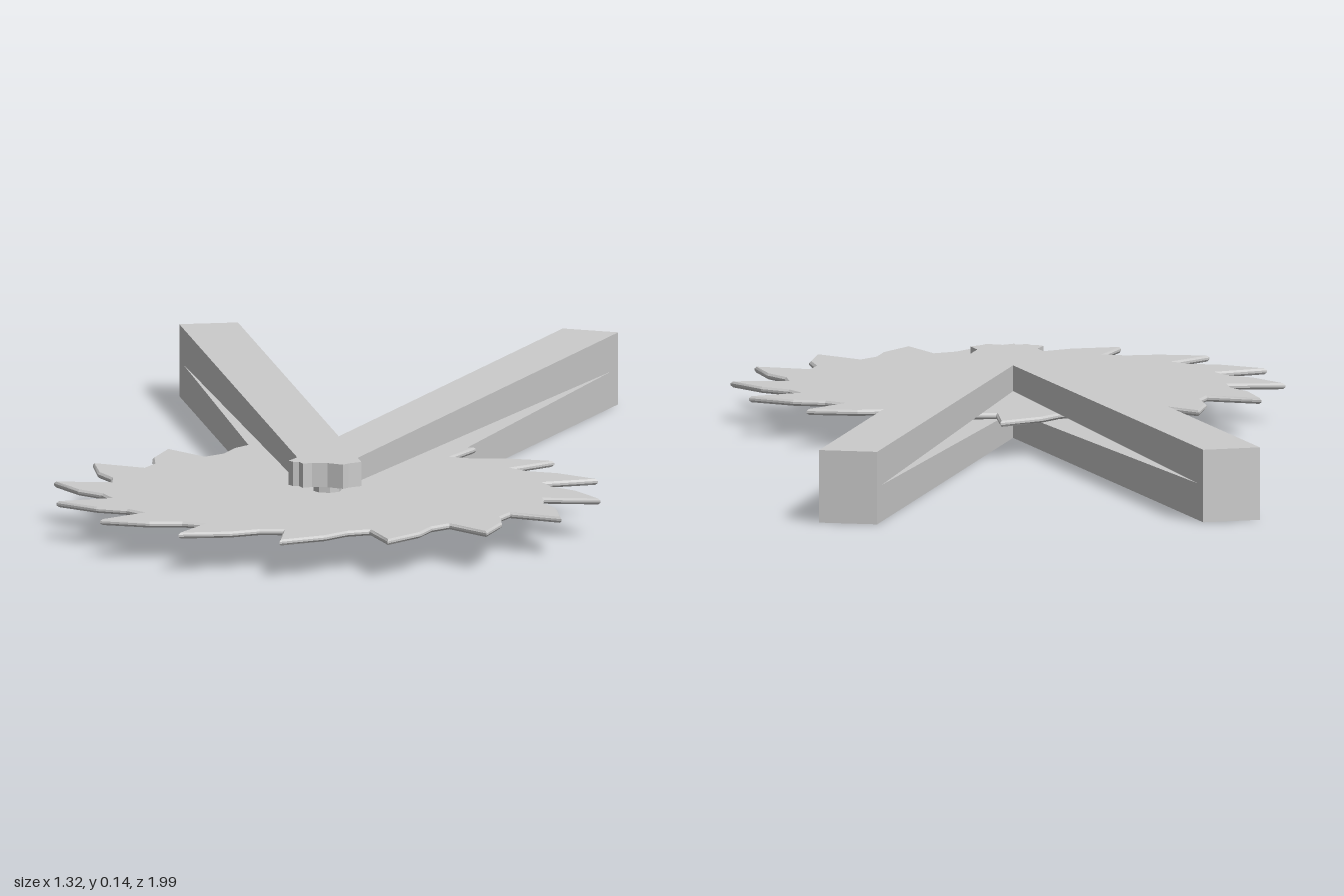
import * as THREE from 'three';

const HUB = { x: -0.116, z: 0.448 };
const HEIGHT = 0.143, MID = 0.072, SLOT = 0.024;
const material = new THREE.MeshStandardMaterial({ color: 0xcccccc, flatShading: true });

function addMesh(parent, name, geometry) {
  const mesh = new THREE.Mesh(geometry, material);
  mesh.name = name;
  parent.add(mesh);
  return mesh;
}

// Flat plate lying in the xz plane; outline points are [x, z], y0 is its underside
function plate(points, y0, thickness, bevel = 0) {
  const shape = new THREE.Shape(points.map(([x, z]) => new THREE.Vector2(x, z)));
  const geometry = new THREE.ExtrudeGeometry(shape, {
    depth: thickness - 2 * bevel, bevelEnabled: bevel > 0, bevelSegments: 1,
    bevelThickness: bevel, bevelSize: bevel, bevelOffset: -bevel,
  });
  return geometry.rotateX(Math.PI / 2).translate(0, y0 + thickness - bevel, 0);
}

// Square arm with a tapering slot that opens at the hub
function armGeometry(length, width) {
  const profile = [
    [0, 0], [length, 0], [length, HEIGHT], [0, HEIGHT],
    [0, MID + SLOT], [1.41, MID], [0, MID - SLOT],
  ];
  const shape = new THREE.Shape(profile.map(([d, y]) => new THREE.Vector2(d, y)));
  return new THREE.ExtrudeGeometry(shape, { depth: width, bevelEnabled: false })
    .translate(0, 0, -width / 2);
}

export function createModel() {
  const model = new THREE.Group();
  model.name = 'sawBladeWithArms';

  // Toothed blade: each tooth is a tip, a steep drop, a gullet and a rising back
  const teeth = 16, step = (Math.PI * 2) / teeth, start = -0.059;
  const tooth = [[0, 0.542], [0.07, 0.432], [0.33, 0.442], [0.58, 0.487]];
  const outline = [];
  for (let i = 0; i < teeth; i++) {
    for (const [t, r] of tooth) {
      const a = start + (i + t) * step;
      outline.push([HUB.x + r * Math.cos(a), HUB.z + r * Math.sin(a)]);
    }
  }
  addMesh(model, 'sawBlade', plate(outline, MID - 0.006, 0.012, 0.004));

  // Two slotted arms meeting over the blade centre
  const arm = armGeometry(1.448, 0.116);
  [['straightArm', Math.PI / 2], ['angledArm', Math.PI / 3]].forEach(([name, turn]) => {
    const mesh = addMesh(model, name, arm);
    mesh.position.set(HUB.x, 0, HUB.z);
    mesh.rotation.y = turn;
  });

  // Notched end caps above and below the slot
  const cap = [
    [-0.174, 0.44], [-0.196, 0.472], [-0.19, 0.485], [-0.178, 0.488], [-0.174, 0.508],
    [-0.155, 0.503], [-0.125, 0.51], [-0.098, 0.532], [-0.085, 0.52], [-0.058, 0.508],
    [-0.058, 0.44],
  ];
  const capHeight = MID - SLOT;
  addMesh(model, 'lowerHubCap', plate(cap, 0, capHeight));
  addMesh(model, 'upperHubCap', plate(cap, HEIGHT - capHeight, capHeight));

  // Axle joining the caps through the blade
  const axle = addMesh(model, 'axle', new THREE.CylinderGeometry(0.028, 0.028, 0.08, 8));
  axle.position.set(HUB.x, MID, HUB.z + 0.004);

  return model;
}
